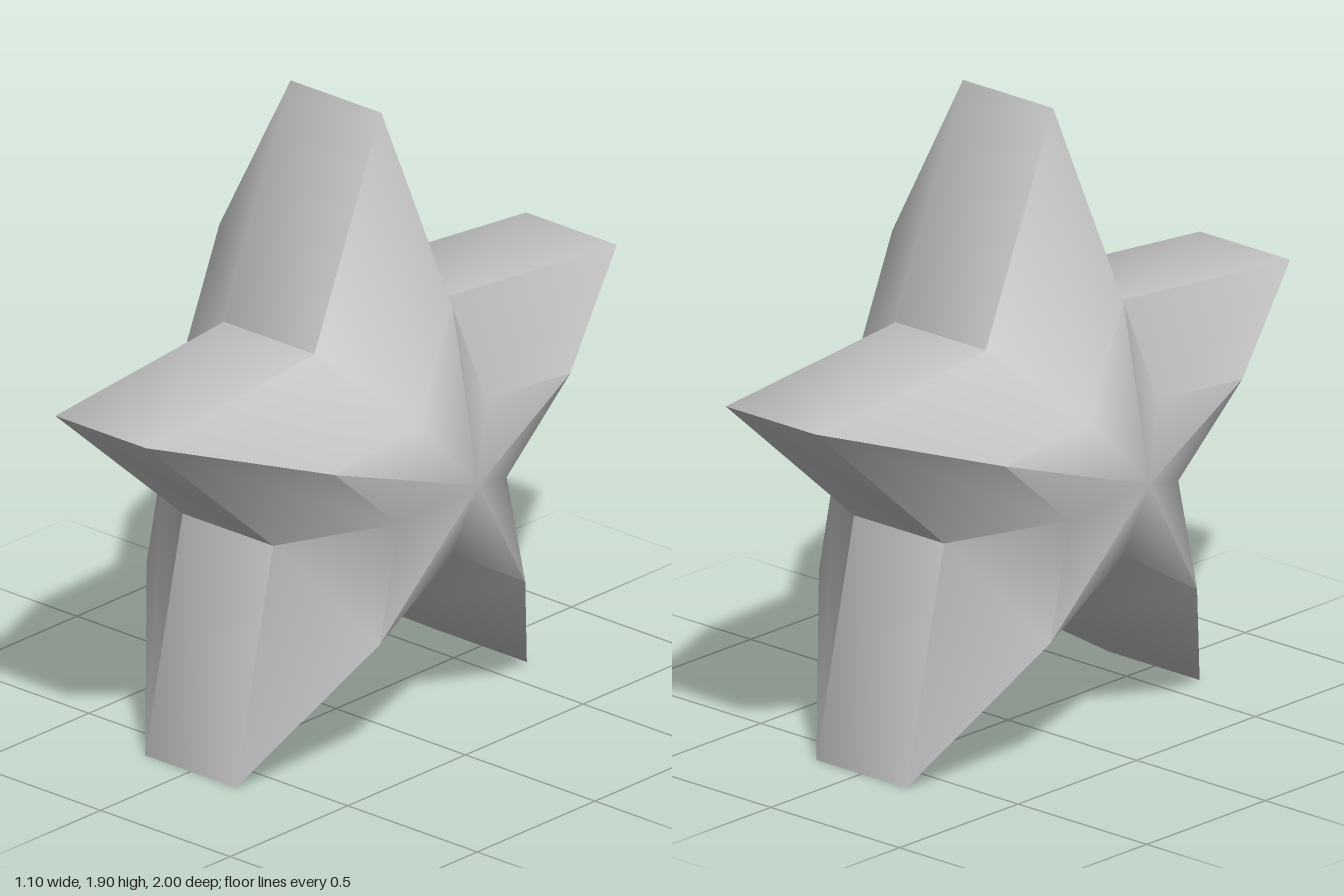
import * as THREE from 'three';
import { toCreasedNormals } from 'three/addons/utils/BufferGeometryUtils.js';

const OUTER = 1.0515;            // tip radius
const INNER = 0.483;             // valley radius
const CENTER_Y = OUTER * Math.cos(Math.PI / 5);

// Star cross-sections along x: [x, scale], closing to a point on each side
const SECTIONS = [[-0.55, 0], [-0.45, 0.5], [-0.175, 1], [0.175, 1], [0.45, 0.5], [0.55, 0]];

function starPoint([x, scale], k) {
  const r = (k % 2 ? INNER : OUTER) * scale;
  const t = (k % 10) * Math.PI / 5;
  return [x, CENTER_Y + r * Math.cos(t), r * Math.sin(t)];
}

function starGeometry() {
  const positions = [];
  for (let i = 0; i < SECTIONS.length - 1; i++) {
    const s0 = SECTIONS[i], s1 = SECTIONS[i + 1];
    for (let k = 0; k < 10; k++) {
      const a = starPoint(s0, k), b = starPoint(s0, k + 1);
      const c = starPoint(s1, k + 1), d = starPoint(s1, k);
      if (s0[1] > 0) positions.push(...a, ...b, ...(s1[1] > 0 ? c : d));
      if (s1[1] > 0) positions.push(...a, ...c, ...d);
    }
  }
  const geometry = new THREE.BufferGeometry();
  geometry.setAttribute('position', new THREE.Float32BufferAttribute(positions, 3));
  // Sharp ridges, softly blended valleys and shoulders
  return toCreasedNormals(geometry, Math.PI / 3);
}

export function createModel() {
  const model = new THREE.Group();
  model.name = 'starModel';
  const grey = new THREE.MeshStandardMaterial({ color: 0xc0c0c0 });
  grey.name = 'lightGrey';
  const star = new THREE.Mesh(starGeometry(), grey);
  star.name = 'star';
  model.add(star);
  return model;
}
